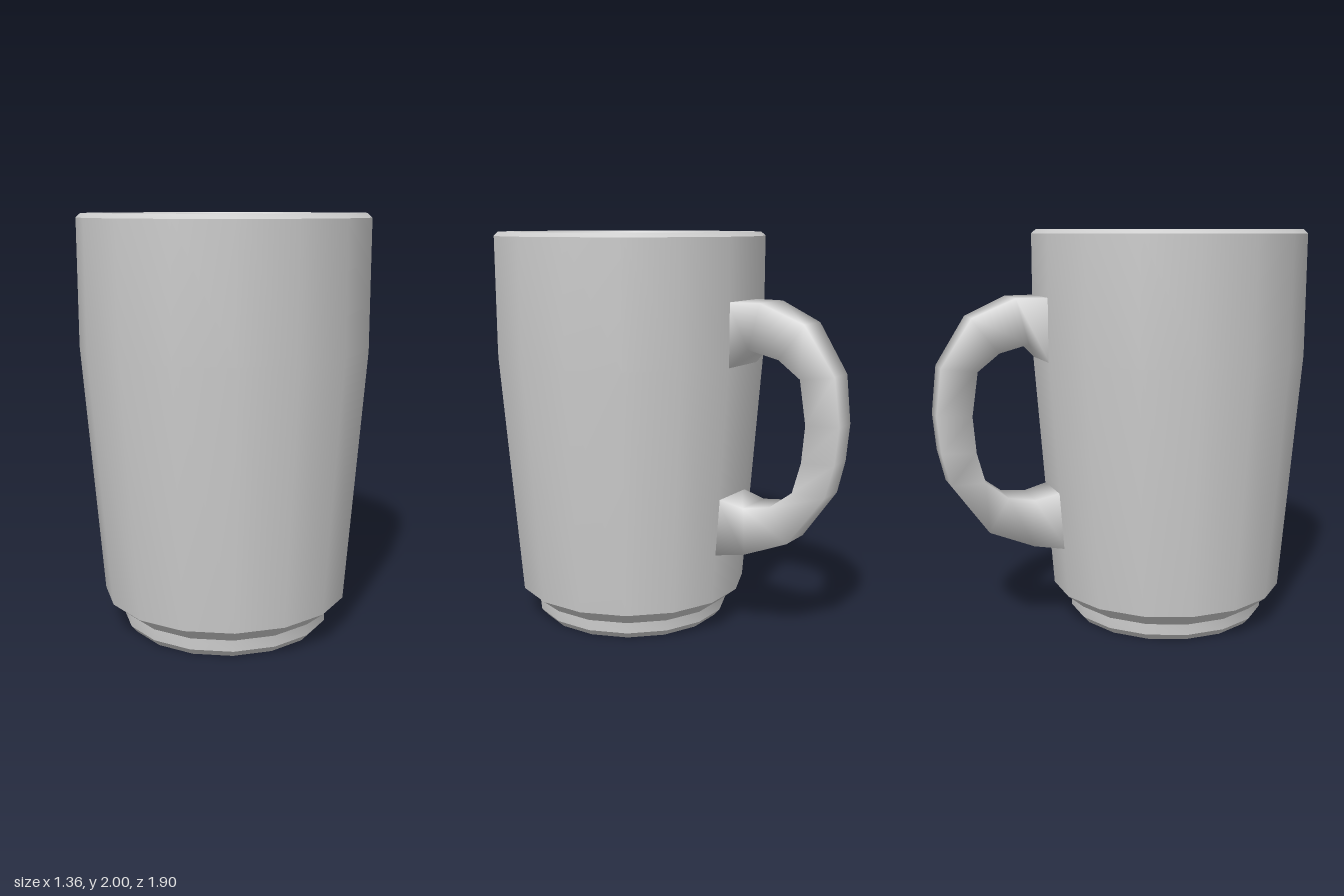
import * as THREE from 'three';
import { toCreasedNormals } from 'three/addons/utils/BufferGeometryUtils.js';

const SIDES = 16;
const BODY_Z = 0.27;

// Sixteen-sided cup; profile radii are measured to the middle of the flats.
function cupGeometry() {
  const profile = [
    // foot and outer wall
    [0, 0], [0.47, 0], [0.5, 0.035], [0.5, 0.09], [0.588, 0.165], [0.68, 1.38], [0.68, 1.98],
    // rim
    [0.658, 2], [0.583, 2], [0.568, 1.98],
    // inner wall and floor
    [0.568, 1.38], [0.49, 0.25], [0.415, 0.17], [0, 0.17],
  ];
  const toCorner = 1 / Math.cos(Math.PI / SIDES);
  const points = profile.map(([r, y]) => new THREE.Vector2(r * toCorner, y));
  const geometry = new THREE.LatheGeometry(points, SIDES, Math.PI / SIDES);
  return toCreasedNormals(geometry, 0.6);
}

// Four-sided handle lofted through cross-sections, smooth shaded.
function handleGeometry() {
  // outer z, outer y, inner z, inner y, half width, x offset
  const rings = [
    [-0.4, 1.68, -0.4, 1.36, 0.133, 0],
    [-0.56, 1.68, -0.5, 1.46, 0.11, -0.002],
    [-0.77, 1.59, -0.64, 1.42, 0.081, -0.009],
    [-0.92, 1.36, -0.745, 1.335, 0.067, -0.013],
    [-0.947, 1.13, -0.775, 1.12, 0.06, -0.014],
    [-0.93, 0.95, -0.76, 0.94, 0.062, -0.013],
    [-0.89, 0.79, -0.72, 0.79, 0.068, -0.011],
    [-0.71, 0.54, -0.61, 0.705, 0.085, -0.007],
    [-0.49, 0.45, -0.48, 0.685, 0.105, -0.002],
    [-0.325, 0.42, -0.345, 0.715, 0.122, 0],
  ];
  const positions = [];
  const index = [];
  rings.forEach(([oz, oy, iz, iy, w, x], i) => {
    positions.push(x + w, oy, oz, x - w, oy, oz, x - w, iy, iz, x + w, iy, iz);
    if (i === 0) return;
    for (let k = 0; k < 4; k++) {
      const a = (i - 1) * 4 + k;
      const b = (i - 1) * 4 + ((k + 1) % 4);
      index.push(a, a + 4, b, b, a + 4, b + 4);
    }
  });
  const geometry = new THREE.BufferGeometry();
  geometry.setAttribute('position', new THREE.Float32BufferAttribute(positions, 3));
  geometry.setIndex(index);
  geometry.computeVertexNormals();
  return geometry;
}

export function createModel() {
  const material = new THREE.MeshStandardMaterial({ color: 0xcccccc });
  const model = new THREE.Group();
  model.name = 'mug';

  const cup = new THREE.Mesh(cupGeometry(), material);
  cup.name = 'cup';
  cup.position.z = BODY_Z;

  const handle = new THREE.Mesh(handleGeometry(), material);
  handle.name = 'handle';

  model.add(cup, handle);
  return model;
}
